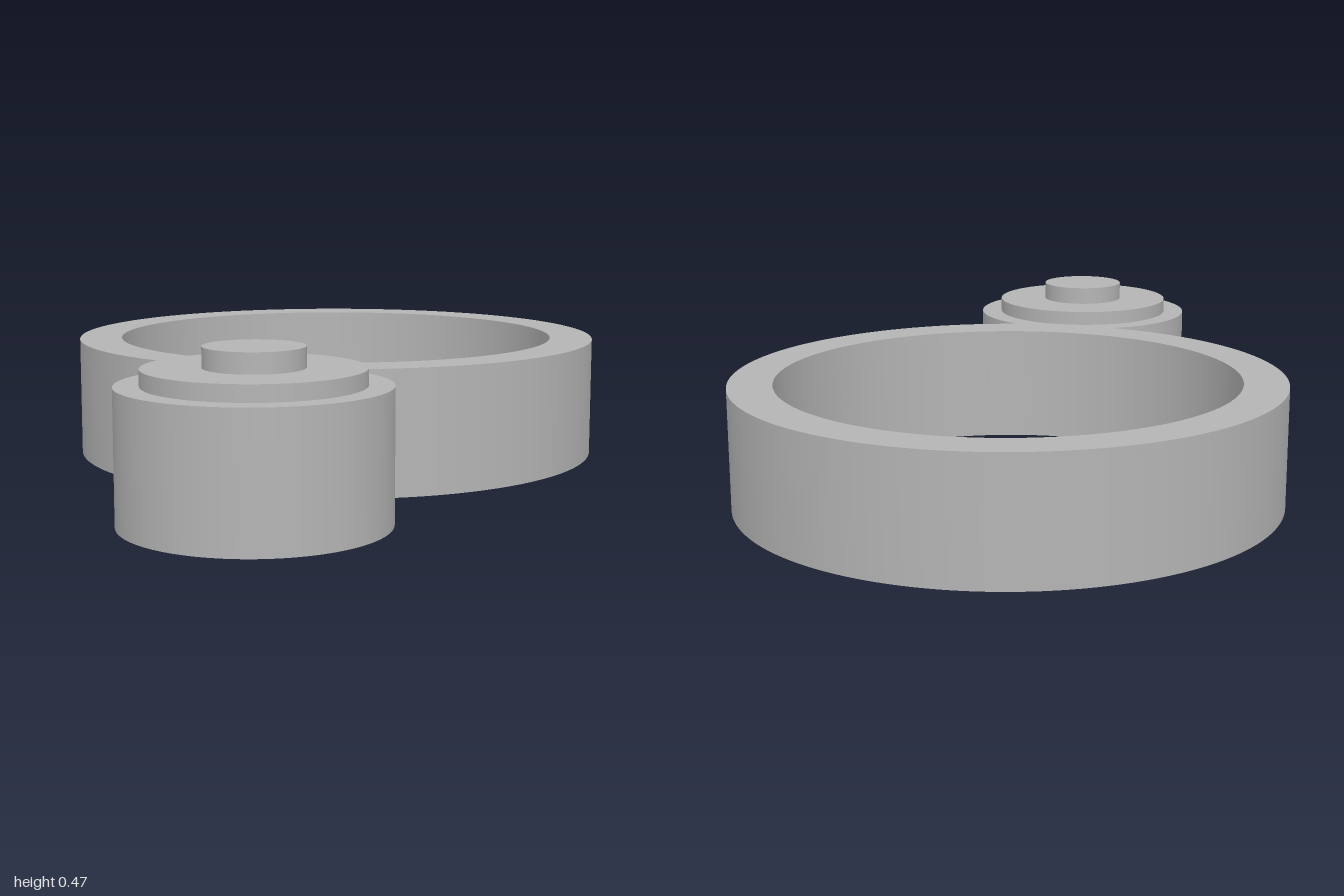
import * as THREE from 'three';
import { toCreasedNormals } from 'three/addons/utils/BufferGeometryUtils.js';

const ring = { x: 0.16, y: 0.174, r: 0.826, inner: 0.693 };
const boss = { x: -0.63, y: -0.634, r: 0.363 };
const bodyHeight = 0.365;

// Outline of the ring merged with the round boss, drawn in plan (y = -z)
function bodyShape() {
  const dx = boss.x - ring.x, dy = boss.y - ring.y;
  const d = Math.hypot(dx, dy), a = Math.atan2(dy, dx);
  const t = Math.acos((d * d + ring.r ** 2 - boss.r ** 2) / (2 * d * ring.r));
  const s = Math.acos((d * d + boss.r ** 2 - ring.r ** 2) / (2 * d * boss.r));
  const shape = new THREE.Shape();
  shape.absarc(ring.x, ring.y, ring.r, a + t, a - t + 2 * Math.PI, false);
  shape.absarc(boss.x, boss.y, boss.r, a + Math.PI + s, a + 3 * Math.PI - s, false);
  const hole = new THREE.Path();
  hole.absarc(ring.x, ring.y, ring.inner, 0, 2 * Math.PI, true);
  shape.holes.push(hole);
  return shape;
}

export function createModel() {
  const group = new THREE.Group();
  group.name = 'ringWithBoss';
  const grey = new THREE.MeshStandardMaterial({ color: 0xb4b4b4 });
  grey.name = 'grey';

  // Ring and boss body
  const geometry = new THREE.ExtrudeGeometry(bodyShape(), {
    depth: bodyHeight, bevelEnabled: false, curveSegments: 96,
  });
  geometry.rotateX(-Math.PI / 2);
  const body = new THREE.Mesh(toCreasedNormals(geometry, Math.PI / 6), grey);
  body.name = 'ringBody';
  group.add(body);

  // Stepped discs on top of the boss
  const addDisc = (name, radius, bottom, top) => {
    const disc = new THREE.Mesh(new THREE.CylinderGeometry(radius, radius, top - bottom, 80), grey);
    disc.position.set(boss.x, (top + bottom) / 2, -boss.y);
    disc.name = name;
    group.add(disc);
  };
  addDisc('bossDisc', 0.295, bodyHeight, 0.41);
  addDisc('bossButton', 0.135, 0.41, 0.466);

  return group;
}
